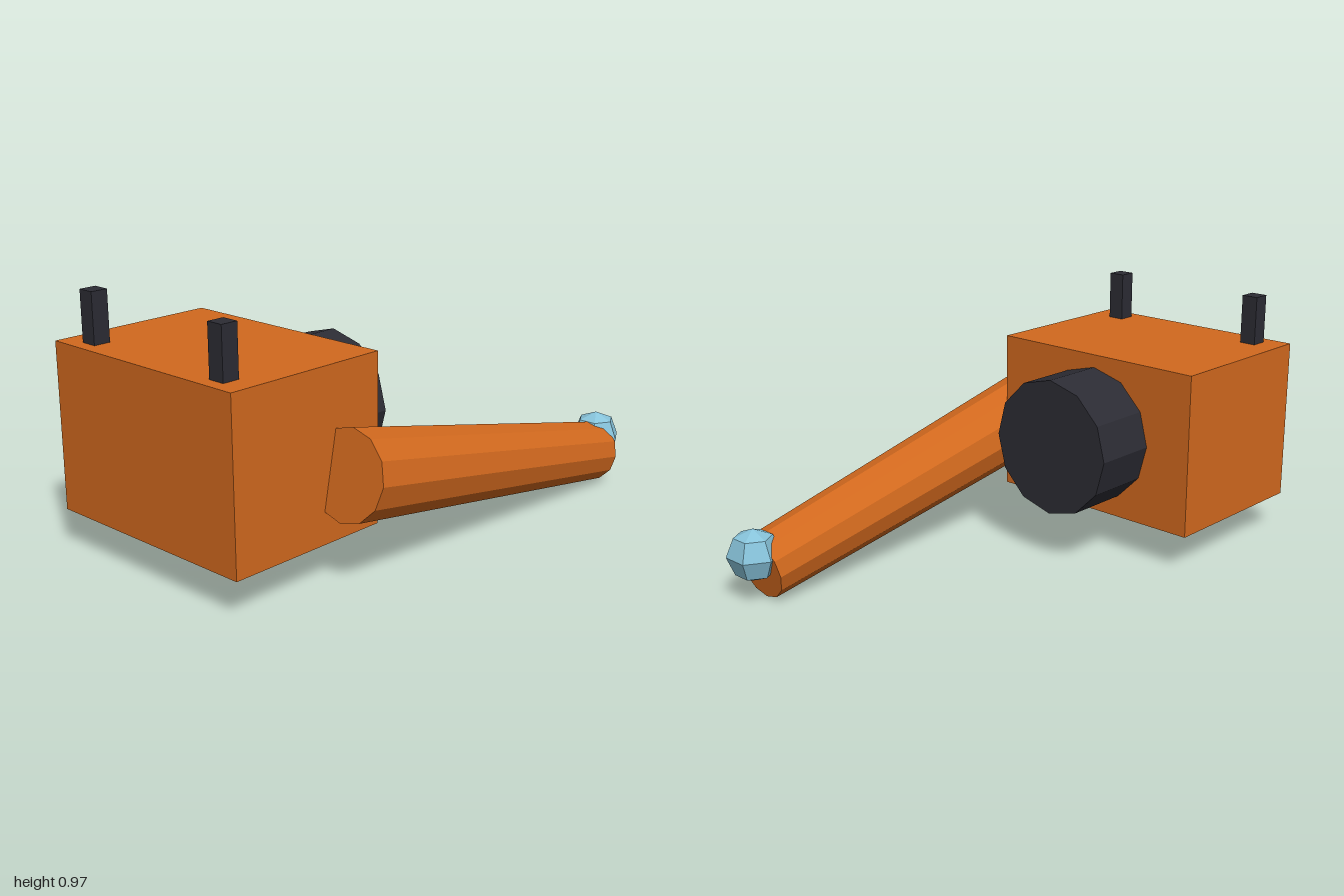
import * as THREE from 'three';

export function createModel() {
  const model = new THREE.Group();
  const mat = (name, color) => {
    const m = new THREE.MeshStandardMaterial({ color, flatShading: true });
    m.name = name;
    return m;
  };
  const orange = mat('orange', 0xd2691e);
  const charcoal = mat('charcoal', 0x2c2c34);
  const paleBlue = mat('pale blue', 0x87c3da);

  const add = (name, geometry, material, x, y, z) => {
    const mesh = new THREE.Mesh(geometry, material);
    mesh.name = name;
    mesh.position.set(x, y, z);
    model.add(mesh);
    return mesh;
  };

  // Main block
  add('body', new THREE.BoxGeometry(0.915, 0.63, 0.665), orange, -0.122, 0.465, 0.667);

  // Two posts along the front edge of the top
  for (const [name, x] of [['rightPost', -0.455], ['leftPost', 0.211]]) {
    add(name, new THREE.BoxGeometry(0.066, 0.19, 0.066), charcoal, x, 0.875, 0.916);
  }

  // Drum on the back face
  add('drum', new THREE.CylinderGeometry(0.265, 0.265, 0.255, 12).rotateX(Math.PI / 2),
    charcoal, -0.123, 0.465, 0.2075);

  // Tapered arm sloping down towards the back
  const near = new THREE.Vector3(0.411, 0.412, 0.57);
  const far = new THREE.Vector3(0.411, 0.122, -0.89);
  const axis = near.clone().sub(far);
  const mid = near.clone().add(far).multiplyScalar(0.5);
  const arm = add('arm', new THREE.CylinderGeometry(0.165, 0.12, axis.length(), 12),
    orange, mid.x, mid.y, mid.z);
  arm.rotation.x = Math.atan2(axis.z, axis.y);

  // Faceted ball at the arm's tip
  add('tipBall', new THREE.SphereGeometry(0.1, 6, 4), paleBlue, 0.411, 0.183, -0.913);

  return model;
}
